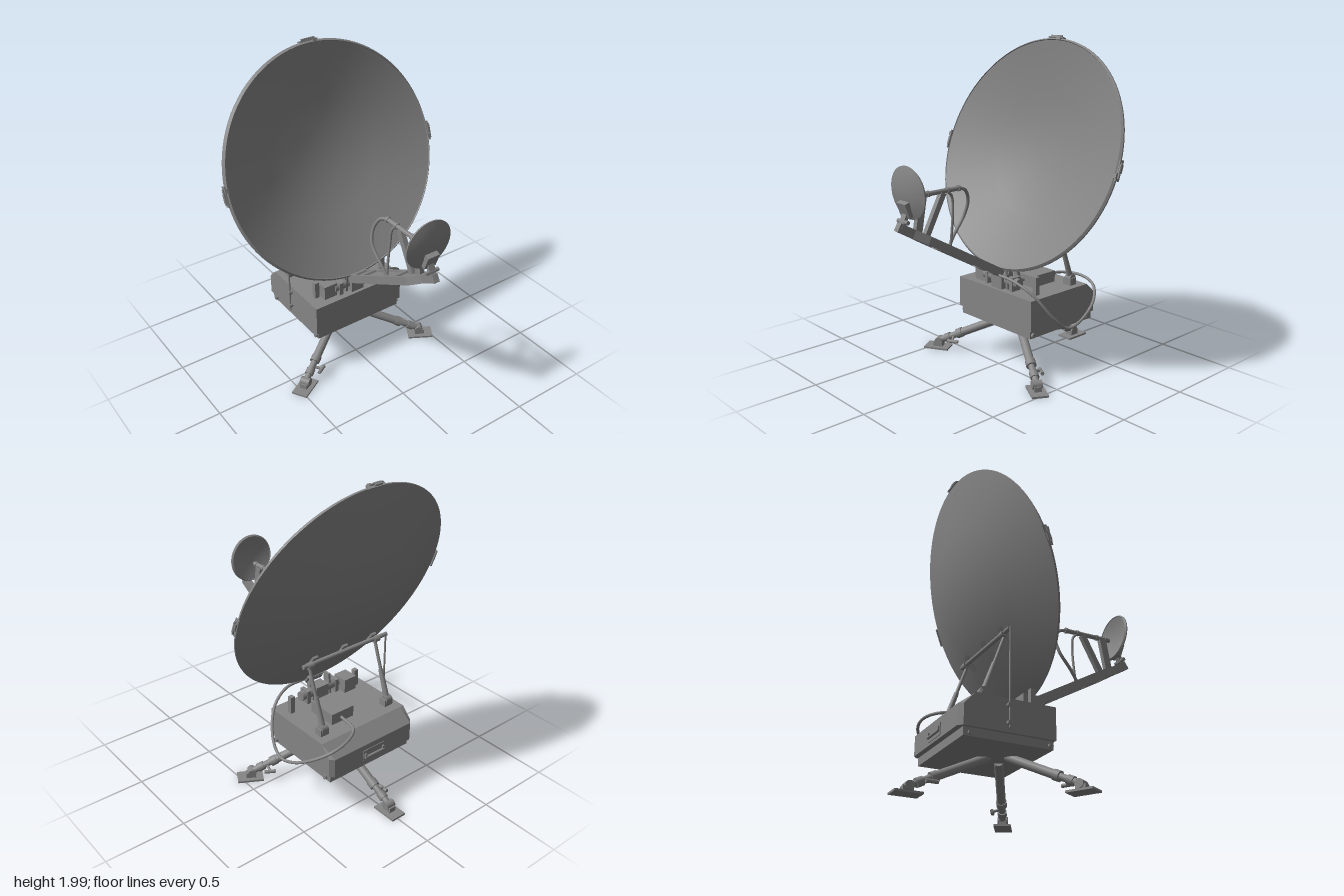
import * as THREE from 'three';
import { toCreasedNormals } from 'three/addons/utils/BufferGeometryUtils.js';

const grey = new THREE.MeshStandardMaterial({ color: 0x858585, side: THREE.DoubleSide });
const V = (x, y, z) => new THREE.Vector3(x, y, z);

function add(parent, name, geo, x = 0, y = 0, z = 0) {
  const m = new THREE.Mesh(geo, grey);
  m.name = name;
  m.position.set(x, y, z);
  parent.add(m);
  return m;
}
const box = (p, name, w, h, d, x, y, z) => add(p, name, new THREE.BoxGeometry(w, h, d), x, y, z);

// round bar between two points
function rod(p, name, a, b, r, r2 = r) {
  const m = add(p, name, new THREE.CylinderGeometry(r2, r, a.distanceTo(b), 20));
  m.position.copy(a).lerp(b, 0.5);
  m.quaternion.setFromUnitVectors(V(0, 1, 0), b.clone().sub(a).normalize());
  return m;
}
// flat bar in the y-z plane between two points
function bar(p, name, w, t, a, b) {
  const m = box(p, name, w, a.distanceTo(b), t, 0, 0, 0);
  m.position.copy(a).lerp(b, 0.5);
  m.quaternion.setFromUnitVectors(V(0, 1, 0), b.clone().sub(a).normalize());
  return m;
}
const cable = (p, name, r, pts) => add(p, name,
  new THREE.TubeGeometry(new THREE.CatmullRomCurve3(pts.map(q => V(...q))), 70, r, 10));

// thin paraboloid shell around z with a bevelled rim; rings are fractions of the radius
function shell(radius, depth, thick, lip, rings) {
  const back = [], front = [];
  for (const t of rings) {
    const y = -depth * (1 - t * t);
    back.push(new THREE.Vector2(radius * t, y - thick));
    front.unshift(new THREE.Vector2((radius - lip) * t, y));
  }
  const profile = [...back, new THREE.Vector2(radius, -thick * 0.4), new THREE.Vector2(radius - lip * 0.8, lip * 0.4), ...front];
  return toCreasedNormals(new THREE.LatheGeometry(profile, 96).rotateX(Math.PI / 2), 0.5);
}

function polygon(pts, holes = []) {
  const s = new THREE.Shape(pts.map(q => new THREE.Vector2(...q)));
  s.holes = holes.map(h => new THREE.Path(h.map(q => new THREE.Vector2(...q))));
  return s;
}
const extrude = (shape, depth) => new THREE.ExtrudeGeometry(shape, { depth, bevelEnabled: false });

function makeDish() {
  const g = new THREE.Group();
  g.name = 'mainReflector';
  g.position.set(0, 1.3, -0.22);
  g.rotation.x = -0.352;
  add(g, 'dish', shell(0.718, 0.17, 0.015, 0.014, [0, 0.25, 0.53, 1]));
  // clamps on the rim: left, top, right
  for (let i = 0; i < 3; i++) {
    const c = new THREE.Group();
    c.name = 'rimClamp';
    c.rotation.z = i * Math.PI / 2;
    box(c, 'clampPlate', 0.008, 0.12, 0.03, 0.72, 0, -0.01);
    box(c, 'clampLatch', 0.014, 0.05, 0.022, 0.727, 0.01, -0.008);
    rod(c, 'clampPin', V(0.73, -0.045, -0.005), V(0.73, 0.045, -0.005), 0.006);
    box(c, 'clampHook', 0.022, 0.025, 0.014, 0.715, -0.035, 0.006);
    g.add(c);
  }
  return g;
}

function makeArm() {
  const g = new THREE.Group();
  g.name = 'feedArm';
  // tapered beam with recessed panels on both faces
  const beam = new THREE.Group();
  beam.name = 'beam';
  beam.position.set(0, 0.64, 0.03);
  beam.rotation.x = Math.PI / 2 - 0.515;
  const outline = [[-0.06, -0.03], [0.06, -0.03], [0.06, 0.6], [0.022, 0.69], [0.018, 0.8],
    [-0.018, 0.8], [-0.022, 0.69], [-0.06, 0.6]];
  const panel = (a, b) => [[-0.045, a], [-0.045, b], [0.045, b], [0.045, a]];
  add(beam, 'beamFrame', extrude(polygon(outline, [panel(0.02, 0.1), panel(0.13, 0.44), panel(0.48, 0.59)]), 0.05));
  add(beam, 'beamWeb', extrude(polygon(outline.map(([x, y]) => [x * 0.95, y - 0.002])), 0.024), 0, 0, 0.013);
  g.add(beam);
  // feed tube on its struts
  rod(g, 'feedTube', V(0, 1.163, 0.3), V(0, 1.163, 0.625), 0.014);
  for (const z of [0.31, 0.39, 0.53, 0.6])
    rod(g, 'tubeCollar', V(0, 1.163, z - 0.008), V(0, 1.163, z + 0.008), 0.018);
  bar(g, 'frontStrut', 0.03, 0.045, V(0, 0.93, 0.61), V(0, 1.155, 0.57));
  bar(g, 'rearStrut', 0.03, 0.035, V(0, 0.92, 0.55), V(0, 1.155, 0.425));
  cable(g, 'feedCable', 0.01, [[0, 1.163, 0.3], [-0.01, 1.14, 0.25], [-0.03, 1.07, 0.215],
    [-0.05, 0.98, 0.23], [-0.045, 0.88, 0.31], [-0.03, 0.8, 0.37]]);
  cable(g, 'feedCableInner', 0.008, [[0, 1.155, 0.385], [-0.005, 1.12, 0.355], [-0.01, 1.02, 0.345],
    [-0.02, 0.92, 0.345], [-0.03, 0.81, 0.35]]);
  // small reflector at the tip
  const sub = new THREE.Group();
  sub.name = 'subReflector';
  sub.position.set(0, 1.19, 0.655);
  sub.rotation.x = 0.083;
  add(sub, 'subDish', shell(0.15, 0.027, 0.01, 0.01, [0, 0.2, 0.4, 0.6, 0.8, 1])).rotation.y = Math.PI;
  g.add(sub);
  box(g, 'subBracket', 0.08, 0.09, 0.03, 0, 1.1, 0.685).rotation.x = 0.35;
  bar(g, 'subBracketStem', 0.04, 0.022, V(0, 1.0, 0.715), V(0, 1.08, 0.68));
  rod(g, 'subBracketPin', V(-0.045, 1.035, 0.7), V(0.045, 1.035, 0.7), 0.012);
  bar(g, 'subBracketFoot', 0.035, 0.018, V(0, 0.995, 0.74), V(0, 1.03, 0.69));
  return g;
}

function makeBase() {
  const g = new THREE.Group();
  g.name = 'baseCase';
  // plan outline with cut rear corners; shape y is -z
  const plan = polygon([[-0.32, -0.04], [0.32, -0.04], [0.32, 0.505], [0.295, 0.53], [-0.295, 0.53], [-0.32, 0.505]]);
  add(g, 'caseLower', extrude(plan, 0.12).rotateX(-Math.PI / 2), 0, 0.31, 0);
  // upper part slopes in at the back
  const lid = extrude(plan, 0.07).rotateX(-Math.PI / 2);
  const p = lid.attributes.position;
  for (let i = 0; i < p.count; i++)
    if (p.getY(i) > 0.03 && p.getZ(i) < -0.44) p.setZ(i, -0.44);
  lid.computeVertexNormals();
  add(g, 'caseLid', lid, 0, 0.43, 0);
  box(g, 'caseTray', 0.61, 0.048, 0.53, 0, 0.284, -0.235);
  for (const s of [-1, 1]) {
    for (const z of [0.01, -0.46])
      rod(g, 'sideKnob', V(s * 0.3, 0.28, z), V(s * 0.318, 0.28, z), 0.014);
    box(g, 'handlePost', 0.012, 0.03, 0.018, s * 0.068, 0.36, -0.535);
  }
  rod(g, 'rearHandle', V(-0.074, 0.35, -0.54), V(0.074, 0.35, -0.54), 0.008);
  box(g, 'handlePlate', 0.16, 0.07, 0.006, 0, 0.36, -0.531);
  box(g, 'controlBox', 0.165, 0.07, 0.19, 0.07, 0.535, -0.235);
  // hinge with its motor
  rod(g, 'hingeShaft', V(-0.15, 0.55, -0.03), V(0.15, 0.55, -0.03), 0.03);
  box(g, 'hingeBlock', 0.09, 0.08, 0.08, 0, 0.54, -0.02);
  for (const s of [-1, 1]) {
    bar(g, 'hingeCheek', 0.015, 0.05, V(s * 0.065, 0.5, -0.03), V(s * 0.065, 0.635, -0.02));
    box(g, 'hingeStand', 0.025, 0.09, 0.07, s * 0.11, 0.54, -0.03);
    rod(g, 'hingeBolt', V(s * 0.06, 0.6, -0.02), V(s * 0.08, 0.6, -0.02), 0.016);
  }
  box(g, 'motorBox', 0.09, 0.09, 0.1, -0.18, 0.545, -0.06);
  return g;
}

function makeElevation() {
  const g = new THREE.Group();
  g.name = 'elevationGear';
  rod(g, 'crossBar', V(-0.335, 0.91, -0.25), V(0.3, 0.91, -0.25), 0.013);
  for (const x of [-0.22, 0, 0.22])
    bar(g, 'dishBracket', 0.035, 0.014, V(x, 0.955, -0.262), V(x, 0.87, -0.202));
  for (const s of [-1, 1]) {
    const a = V(s * 0.25, 0.54, -0.365), b = V(s * 0.25, 0.9, -0.24);
    box(g, 'strutFoot', 0.06, 0.05, 0.05, s * 0.25, 0.52, -0.36);
    rod(g, 'strutSleeve', a, a.clone().lerp(b, 0.5), 0.018, 0.014);
    rod(g, 'strutRod', a, b, 0.01);
    rod(g, 'strutJoint', V(s * 0.25 - 0.022, 0.54, -0.365), V(s * 0.25 + 0.022, 0.54, -0.365), 0.026);
    rod(g, 'strutEye', V(s * 0.25 - 0.02, 0.905, -0.25), V(s * 0.25 + 0.02, 0.905, -0.25), 0.02);
    box(g, 'dishRest', 0.03, 0.12, 0.03, s * 0.25, 0.55, -0.07);
  }
  // gauge rod down the side of the case
  rod(g, 'gaugeRod', V(-0.333, 0.33, -0.247), V(-0.333, 0.92, -0.247), 0.006);
  for (const y of [0.36, 0.46])
    rod(g, 'gaugeClamp', V(-0.318, y, -0.247), V(-0.345, y, -0.247), 0.014);
  return g;
}

// leg built along +x from the case centre
function makeLeg(angle) {
  const g = new THREE.Group();
  g.name = 'leg';
  g.position.set(-0.008, 0, -0.153);
  g.rotation.y = angle;
  const a = V(0.06, 0.265, 0), b = V(0.51, 0.05, 0);
  const at = t => a.clone().lerp(b, t);
  rod(g, 'outerTube', a, at(0.7), 0.026);
  rod(g, 'innerTube', at(0.65), b, 0.02);
  rod(g, 'lockCollar', at(0.66), at(0.74), 0.031);
  rod(g, 'endCollar', at(0.84), at(0.92), 0.027);
  rod(g, 'lockLever', at(0.8), V(0.405, 0.075, -0.055), 0.008);
  rod(g, 'leverKnob', V(0.37, 0.072, -0.055), V(0.44, 0.072, -0.055), 0.011);
  rod(g, 'footPivot', V(0.515, 0.045, -0.03), V(0.515, 0.045, 0.03), 0.026);
  box(g, 'footBlock', 0.06, 0.035, 0.045, 0.52, 0.025, 0);
  box(g, 'footPlate', 0.16, 0.012, 0.1, 0.525, 0.006, 0);
  return g;
}

export function createModel() {
  const model = new THREE.Group();
  model.name = 'satelliteAntenna';
  model.add(makeDish(), makeArm(), makeBase(), makeElevation());
  for (const a of [-Math.PI / 6, Math.PI / 2, Math.PI * 7 / 6]) model.add(makeLeg(a));
  cable(model, 'longCable', 0.009, [[0.06, 0.6, 0.05], [0.2, 0.59, 0.05], [0.32, 0.52, 0.01],
    [0.4, 0.38, -0.08], [0.42, 0.31, -0.17], [0.42, 0.34, -0.3], [0.38, 0.42, -0.44],
    [0.3, 0.48, -0.515], [0.2, 0.51, -0.52], [0.1, 0.52, -0.46], [0.08, 0.53, -0.32]]);
  cable(model, 'shortCable', 0.01, [[0.08, 0.62, 0], [0.09, 0.67, -0.045], [0.09, 0.62, -0.07],
    [0.08, 0.55, -0.1], [0.07, 0.53, -0.15]]);
  return model;
}
